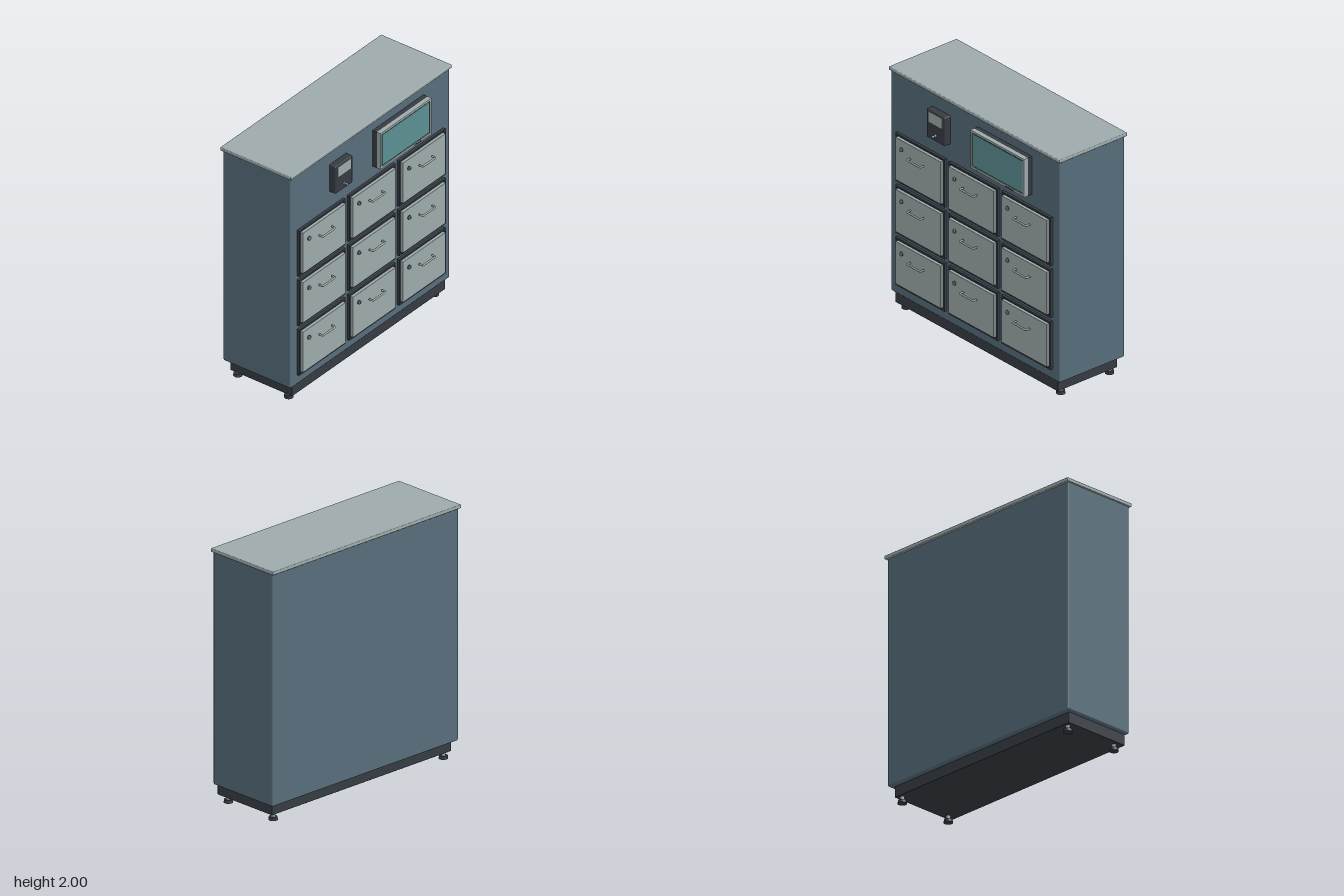
import * as THREE from 'three';
import { RoundedBoxGeometry } from 'three/addons/geometries/RoundedBoxGeometry.js';

export function createModel() {
  const model = new THREE.Group();
  model.name = 'lockerCabinet';

  const paint = (name, color) => {
    const m = new THREE.MeshStandardMaterial({ color });
    m.name = name;
    return m;
  };
  const blue = paint('blue grey', 0x566d7a);
  const grey = paint('light grey', 0x9da9aa);
  const dark = paint('charcoal', 0x363b42);
  const black = paint('near black', 0x202428);
  const teal = paint('screen teal', 0x5a8f92);
  const green = paint('indicator green', 0x35a07c);

  const add = (parent, name, geometry, material, x = 0, y = 0, z = 0) => {
    const mesh = new THREE.Mesh(geometry, material);
    mesh.name = name;
    mesh.position.set(x, y, z);
    parent.add(mesh);
    return mesh;
  };
  // Box given by its extents; r rounds the edges
  const box = (parent, name, mat, [x0, x1], [y0, y1], [z0, z1], r = 0) => {
    const w = x1 - x0, h = y1 - y0, d = z1 - z0;
    const g = r ? new RoundedBoxGeometry(w, h, d, 2, r) : new THREE.BoxGeometry(w, h, d);
    return add(parent, name, g, mat, (x0 + x1) / 2, (y0 + y1) / 2, (z0 + z1) / 2);
  };
  // Cylinder whose axis points to the front
  const disc = (parent, name, mat, r, x, y, z0, z1, sides = 24) => {
    const g = new THREE.CylinderGeometry(r, r, z1 - z0, sides).rotateX(Math.PI / 2);
    return add(parent, name, g, mat, x, y, (z0 + z1) / 2);
  };
  const group = (name, x = 0, y = 0) => {
    const g = new THREE.Group();
    g.name = name;
    g.position.set(x, y, 0);
    model.add(g);
    return g;
  };

  // Cabinet shell, top and plinth
  box(model, 'body', blue, [-0.945, 0.945], [0.14, 1.975], [-0.35, 0.276], 0.012);
  box(model, 'topPlate', grey, [-0.957, 0.957], [1.972, 2], [-0.368, 0.289], 0.006);
  box(model, 'plinth', dark, [-0.91, 0.91], [0.053, 0.145], [-0.308, 0.265], 0.004);

  // Levelling feet
  for (const x of [-0.865, 0.865]) for (const z of [-0.274, 0.197]) {
    const foot = group('foot', x);
    foot.position.z = z;
    add(foot, 'footPad', new THREE.CylinderGeometry(0.032, 0.035, 0.024, 24), dark, 0, 0.012, 0);
    add(foot, 'footStem', new THREE.CylinderGeometry(0.017, 0.017, 0.036, 20), grey, 0, 0.039, 0);
  }

  // Handle: a bar bent back at both ends
  const corner = 0.01, half = 0.075, front = 0.361, back = 0.328;
  const handlePath = new THREE.CurvePath();
  const v = (x, z) => new THREE.Vector3(x, 0, z);
  handlePath.add(new THREE.LineCurve3(v(-half, back), v(-half, front - corner)));
  handlePath.add(new THREE.QuadraticBezierCurve3(v(-half, front - corner), v(-half, front), v(corner - half, front)));
  handlePath.add(new THREE.LineCurve3(v(corner - half, front), v(half - corner, front)));
  handlePath.add(new THREE.QuadraticBezierCurve3(v(half - corner, front), v(half, front), v(half, front - corner)));
  handlePath.add(new THREE.LineCurve3(v(half, front - corner), v(half, back)));
  const handleGeometry = new THREE.TubeGeometry(handlePath, 48, 0.0075, 10);

  // Frame outline shared by the doors and the monitor
  const rectFrame = (w, h, border, depth) => {
    const s = new THREE.Shape();
    s.moveTo(-w / 2, -h / 2).lineTo(w / 2, -h / 2).lineTo(w / 2, h / 2).lineTo(-w / 2, h / 2).closePath();
    const a = w / 2 - border, b = h / 2 - border;
    const hole = new THREE.Path();
    hole.moveTo(-a, -b).lineTo(-a, b).lineTo(a, b).lineTo(a, -b).closePath();
    s.holes.push(hole);
    return new THREE.ExtrudeGeometry(s, { depth, bevelEnabled: false });
  };
  const doorFrame = rectFrame(0.55, 0.398, 0.014, 0.026);

  // Three by three doors
  for (const y of [0.425, 0.858, 1.29]) for (const x of [-0.594, 0, 0.594]) {
    const door = group('door', x, y);
    add(door, 'doorFrame', doorFrame, dark, 0, 0, 0.274);
    box(door, 'doorBacking', dark, [-0.265, 0.265], [-0.189, 0.189], [0.274, 0.292]);
    box(door, 'doorPanel', grey, [-0.254, 0.254], [-0.177, 0.177], [0.29, 0.317], 0.004);
    add(door, 'handle', handleGeometry, grey, 0, 0.073, 0);
    disc(door, 'lockRim', dark, 0.017, -0.184, 0.1, 0.316, 0.323);
    disc(door, 'lock', grey, 0.0145, -0.184, 0.1, 0.316, 0.33);
    box(door, 'keyhole', black, [-0.186, -0.182], [0.092, 0.108], [0.329, 0.331]);
  }

  // Card reader with a small display and a key knob
  const reader = group('cardReader', -0.38, 1.744);
  box(reader, 'readerCase', dark, [-0.103, 0.103], [-0.119, 0.119], [0.27, 0.333], 0.01);
  box(reader, 'readerDisplay', grey, [-0.077, 0.077], [0.018, 0.104], [0.331, 0.336]);
  disc(reader, 'knobBase', grey, 0.012, 0, -0.07, 0.332, 0.345);
  disc(reader, 'knobNeck', dark, 0.008, 0, -0.07, 0.345, 0.352, 16);
  disc(reader, 'knobTip', grey, 0.009, 0, -0.07, 0.352, 0.367, 16);

  // Monitor
  const monitor = group('monitor', 0.333, 1.741);
  box(monitor, 'monitorBack', dark, [-0.302, 0.302], [-0.157, 0.157], [0.274, 0.316]);
  box(monitor, 'monitorCore', black, [-0.295, 0.295], [-0.15, 0.15], [0.316, 0.344]);
  add(monitor, 'monitorFrame', rectFrame(0.605, 0.315, 0.018, 0.036), grey, 0, 0, 0.315);
  box(monitor, 'screen', teal, [-0.276, 0.276], [-0.131, 0.131], [0.342, 0.347]);
  box(monitor, 'powerLight', green, [-0.229, -0.216], [-0.152, -0.146], [0.35, 0.353]);
  for (let i = 0; i < 4; i++) {
    disc(monitor, 'monitorButton', black, 0.005, 0.102 + i * 0.023, -0.149, 0.35, 0.355, 12);
  }

  return model;
}
